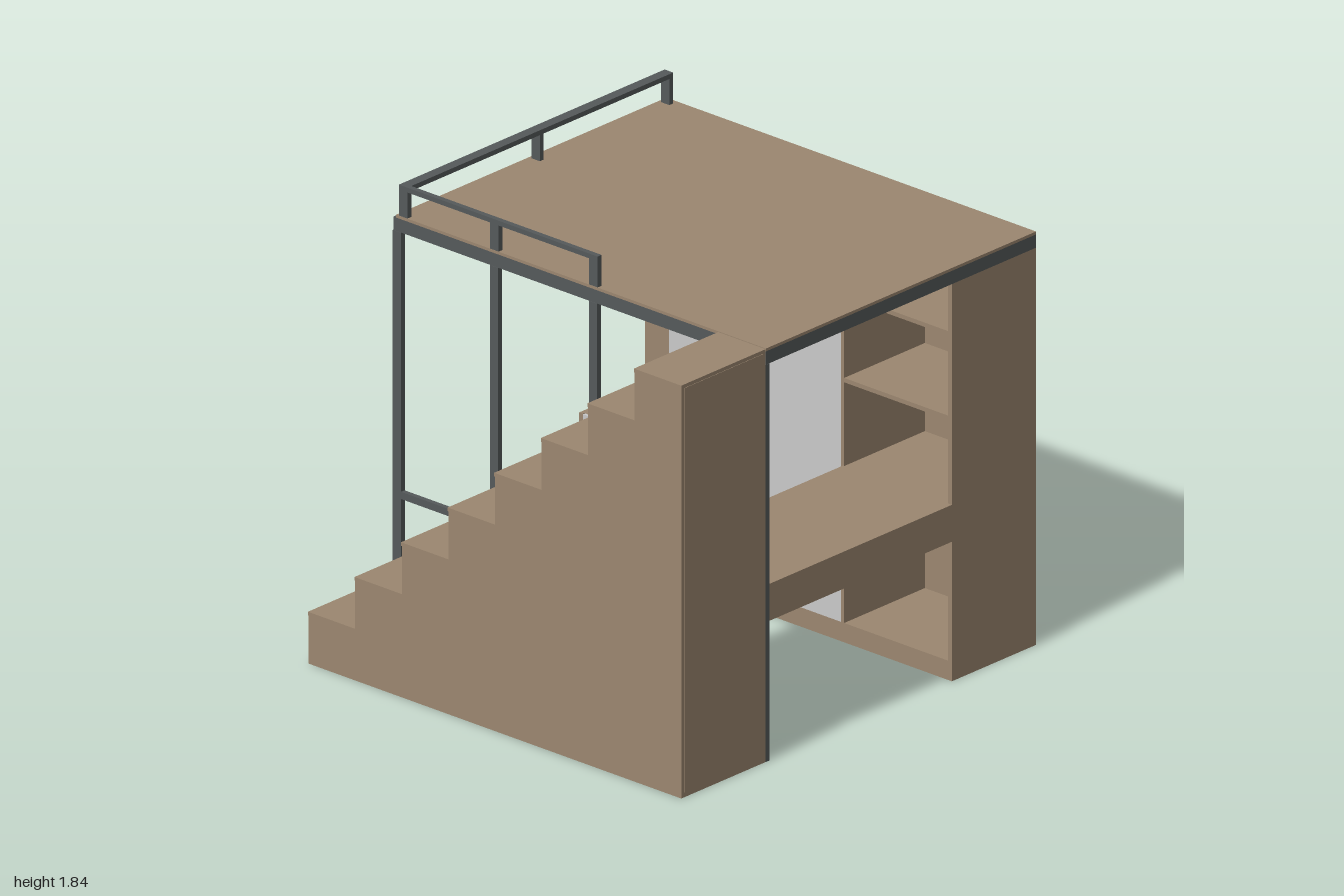
import * as THREE from 'three';

export function createModel() {
  const model = new THREE.Group();
  model.name = 'loftBed';
  const material = (name, color) => {
    const m = new THREE.MeshStandardMaterial({ color });
    m.name = name;
    return m;
  };
  const wood = material('wood', 0x9c8770);
  const metal = material('darkMetal', 0x555a5b);
  const grey = material('lightGrey', 0xcbcbcb);

  // Box given by its limits on each axis
  const box = (parent, name, mat, x0, x1, y0, y1, z0, z1) => {
    const mesh = new THREE.Mesh(new THREE.BoxGeometry(x1 - x0, y1 - y0, z1 - z0), mat);
    mesh.position.set((x0 + x1) / 2, (y0 + y1) / 2, (z0 + z1) / 2);
    mesh.name = name;
    parent.add(mesh);
  };
  const group = (name) => {
    const g = new THREE.Group();
    g.name = name;
    model.add(g);
    return g;
  };

  // Staircase: solid stepped body, treads and grey risers
  const stairs = group('staircase');
  const steps = 8, run = 0.24, rise = 1.71 / steps, tread = 0.015;
  const profile = new THREE.Shape();
  profile.moveTo(0.96, 0);
  for (let i = steps - 1; i >= 0; i--) {
    const top = (i + 1) * rise - tread;
    profile.lineTo(-0.96 + (i + 1) * run, top);
    profile.lineTo(-0.96 + i * run, top);
  }
  profile.lineTo(-0.96, 0);
  profile.closePath();
  const body = new THREE.Mesh(
    new THREE.ExtrudeGeometry(profile, { depth: 0.475, bevelEnabled: false }), wood);
  body.position.z = 0.525;
  body.name = 'stairBody';
  stairs.add(body);
  for (let i = 0; i < steps; i++) {
    const x = -0.96 + i * run, y = i * rise;
    box(stairs, 'tread', wood, x - 0.004, x + run, y + rise - tread, y + rise, 0.525, 1);
    box(stairs, 'riser', grey, x - 0.003, x + 0.003, y + 0.001, y + rise - tread, 0.53, 0.995);
  }
  box(stairs, 'endPanel', wood, 0.957, 0.962, 0.02, 1.695, 0.54, 0.985);

  // Platform with its metal perimeter frame
  const platform = group('platform');
  box(platform, 'deck', wood, -0.945, 0.96, 1.7, 1.712, -1, 0.523);
  for (const x of [-0.96, 0.92]) box(platform, 'frameSide', metal, x, x + 0.04, 1.645, 1.7, -1, 0.523);
  box(platform, 'frameFront', metal, -0.92, 0.92, 1.645, 1.7, 0.5, 0.523);
  box(platform, 'frameBack', metal, -0.92, 0.92, 1.645, 1.7, -1, -0.96);

  // Support posts and rails behind the stairs
  const frame = group('supportFrame');
  for (const [x, y] of [[-0.94, 0], [-0.44, 0.57], [0.07, 0], [0.94, 0]])
    box(frame, 'post', metal, x - 0.021, x + 0.021, y, 1.645, 0.503, 0.525);
  for (const y of [0, 0.542])
    box(frame, 'crossRail', metal, -0.92, 0.92, y, y + 0.03, 0.504, 0.524);

  // Guard rail on the front and the open side
  const guard = group('guardRail');
  for (const x of [-0.91, -0.44, 0.07])
    box(guard, 'guardPost', metal, x - 0.022, x + 0.022, 1.71, 1.82, 0.5, 0.522);
  for (const z of [-0.965, -0.235])
    box(guard, 'guardPost', metal, -0.932, -0.888, 1.71, 1.82, z - 0.011, z + 0.011);
  box(guard, 'frontTopRail', metal, -0.888, 0.092, 1.82, 1.84, 0.5, 0.522);
  box(guard, 'sideTopRail', metal, -0.932, -0.888, 1.82, 1.84, -0.976, 0.522);

  // Cabinet carcass, hollow underneath
  const cabinet = group('cabinet');
  const top = 1.645, front = -0.525, t = 0.02;
  box(cabinet, 'backPanel', wood, -0.96, 0.96, 0, top, -1, -1 + t);
  box(cabinet, 'rightSide', wood, 0.96 - t, 0.96, 0, top, -1 + t, front);
  box(cabinet, 'divider', wood, 0.39, 0.405, 0.08, top, -1 + t, front);
  box(cabinet, 'divider', wood, -0.515, -0.5, 0.08, top, -1 + t, front - 0.012);
  box(cabinet, 'floor', wood, -0.94, 0.94, 0.06, 0.08, -1 + t, front);
  box(cabinet, 'plinth', wood, -0.94, 0.94, 0, 0.06, front - t, front);
  box(cabinet, 'topPanel', wood, -0.94, 0.94, top - 0.015, top, -1 + t, front - 0.012);

  // Open niche at the end, between a lower and an upper box
  box(cabinet, 'lowerSide', wood, -0.96, -0.94, 0, 0.555, -1 + t, front);
  box(cabinet, 'upperSide', wood, -0.96, -0.94, 1.095, top, -1 + t, front);
  box(cabinet, 'nicheFloor', wood, -0.94, -0.5, 0.535, 0.555, -1 + t, front - 0.012);
  box(cabinet, 'nicheCeiling', wood, -0.94, -0.5, 1.095, 1.115, -1 + t, front - 0.012);
  box(cabinet, 'nicheBack', wood, -0.96, -0.515, 0.555, 1.095, -1 + t, -0.895);

  // Grey doors and their handles
  for (const [x0, x1, y0, y1] of [
    [-0.94, -0.502, 0.08, 0.553], [-0.94, -0.502, 1.097, top],
    [-0.498, -0.056, 0.08, top], [-0.052, 0.39, 0.08, top],
  ]) box(cabinet, 'door', grey, x0, x1, y0, y1, front - 0.012, front);
  for (const x of [-0.097, -0.015])
    box(cabinet, 'handle', wood, x - 0.011, x + 0.011, 0.84, 0.957, front, -0.495);

  // Open shelves
  for (const y of [0.73, 1.095, 1.445])
    box(cabinet, 'shelf', wood, 0.405, 0.94, y - 0.018, y, -1 + t, front);

  // Desk between the shelves and the stairs
  const desk = group('desk');
  box(desk, 'desktop', wood, 0.4, 0.96, 0.715, 0.731, front, 0.503);
  box(desk, 'apron', wood, 0.94, 0.96, 0.578, 0.715, front, 0.503);
  box(desk, 'apron', wood, 0.4, 0.42, 0.578, 0.715, front, 0.503);
  box(desk, 'deskBottom', wood, 0.42, 0.94, 0.578, 0.59, front, 0.503);

  return model;
}
